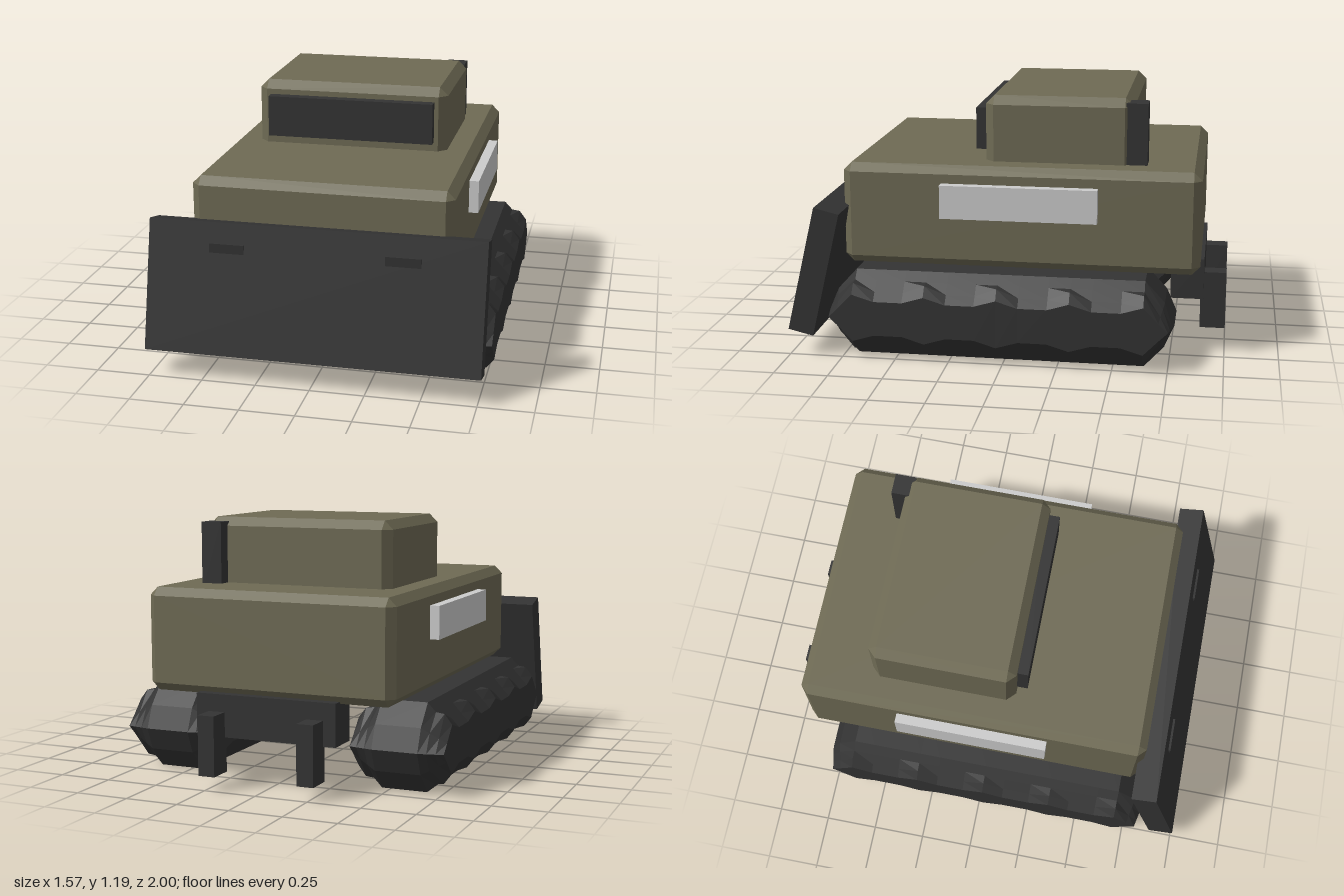
import * as THREE from 'three';
import { ConvexGeometry } from 'three/addons/geometries/ConvexGeometry.js';

const mat = (color) => new THREE.MeshStandardMaterial({ color, flatShading: true });

// Box with every edge and corner cut off by c
function chamferBox(w, h, d, c) {
  const pts = [];
  for (const x of [-1, 1]) for (const y of [-1, 1]) for (const z of [-1, 1])
    for (let axis = 0; axis < 3; axis++) {
      const inset = [c, c, c];
      inset[axis] = 0;
      pts.push(new THREE.Vector3(x * (w / 2 - inset[0]), y * (h / 2 - inset[1]), z * (d / 2 - inset[2])));
    }
  return new ConvexGeometry(pts);
}

// Crawler track: cross-sections with bevelled shoulders, lugs at the crest stations
function trackGeometry() {
  const halfH = 0.2025;
  const dx = [-0.22, -0.185, -0.145, -0.107, 0.107, 0.145, 0.185, 0.22];
  const valley = [0.12, 0.083, 0.04, 0, 0, 0.04, 0.083, 0.12];
  const crest = [0.09, 0.045, 0.04, 0, 0, 0.04, 0.045, 0.09];

  // stations from front to back: z, half height, lug or not
  const stations = [[0.8, 0, false], [0.755, 0.105, false]];
  for (let k = 2; k >= -2; k--) {
    const z = k * 0.3325;
    if (k < 2) stations.push([z + 0.1, halfH, false]);
    stations.push([z, halfH, true]);
    if (k > -2) stations.push([z - 0.1, halfH, false]);
  }
  stations.push([-0.755, 0.105, false], [-0.8, 0, false]);

  const point = ([z, h, lug], i, side) => {
    const inset = (lug ? crest : valley)[i];
    const pull = Math.abs(z) > 0.7 ? 1 - inset * 0.25 : 1;
    return [dx[i], halfH + side * h * (1 - inset / 0.2), z * pull];
  };
  const pos = [];
  const quad = (a, b, c, d) => pos.push(...a, ...b, ...c, ...a, ...c, ...d);
  for (let s = 0; s < stations.length - 1; s++) {
    const A = stations[s], B = stations[s + 1];
    // tread and shoulders, top and bottom
    for (let i = 0; i < dx.length - 1; i++) {
      quad(point(A, i, 1), point(A, i + 1, 1), point(B, i + 1, 1), point(B, i, 1));
      quad(point(A, i, -1), point(B, i, -1), point(B, i + 1, -1), point(A, i + 1, -1));
    }
    // flat side faces
    const e = dx.length - 1;
    quad(point(A, e, -1), point(B, e, -1), point(B, e, 1), point(A, e, 1));
    quad(point(A, 0, -1), point(A, 0, 1), point(B, 0, 1), point(B, 0, -1));
  }
  const geo = new THREE.BufferGeometry();
  geo.setAttribute('position', new THREE.Float32BufferAttribute(pos, 3));
  geo.computeVertexNormals();
  return geo;
}

export function createModel() {
  const group = new THREE.Group();
  const olive = mat(0x6e6a54), dark = mat(0x333333), grey = mat(0xcccccc);

  const add = (name, geo, material, x, y, z) => {
    const mesh = new THREE.Mesh(geo, material);
    mesh.name = name;
    mesh.position.set(x, y, z);
    group.add(mesh);
    return mesh;
  };
  // Box given by its minimum and maximum on each axis
  const box = (name, material, x0, x1, y0, y1, z0, z1) =>
    add(name, new THREE.BoxGeometry(x1 - x0, y1 - y0, z1 - z0), material,
      (x0 + x1) / 2, (y0 + y1) / 2, (z0 + z1) / 2);

  // Body and cab
  add('hull', chamferBox(1.2, 0.475, 1.65, 0.038), olive, 0, 0.6475, -0.055);
  add('cab', chamferBox(0.92, 0.36, 0.685, 0.04), olive, 0, 1.01, -0.2175);
  box('windshield', dark, -0.4, 0.4, 0.93, 1.125, 0.1, 0.175);
  box('exhaust', dark, 0.35, 0.45, 0.84, 1.17, -0.625, -0.525);

  // Dozer blade, leaning back at the top
  const blade = add('blade', new THREE.BoxGeometry(1.53, 0.6, 0.12), dark, 0, 0.405, 0.8725);
  blade.rotation.x = -0.235;

  // Rear tool bar
  box('rearBar', dark, -0.34, 0.34, 0.225, 0.42, -0.895, -0.74);

  // Mirrored parts
  const track = trackGeometry();
  for (const [side, s] of [['left', 1], ['right', -1]]) {
    const pair = (name, material, x0, x1, ...rest) =>
      box(side + name, material, Math.min(s * x0, s * x1), Math.max(s * x0, s * x1), ...rest);
    add(side + 'Track', track, dark, s * 0.565, 0, 0.025);
    pair('SidePanel', grey, 0.58, 0.645, 0.65, 0.805, -0.415, 0.305);
    pair('BladeArm', dark, 0.32, 0.48, 0.505, 0.62, 0.65, 0.893);
    pair('RipperShank', dark, 0.2, 0.28, 0.065, 0.34, -1, -0.88);
  }
  return group;
}
